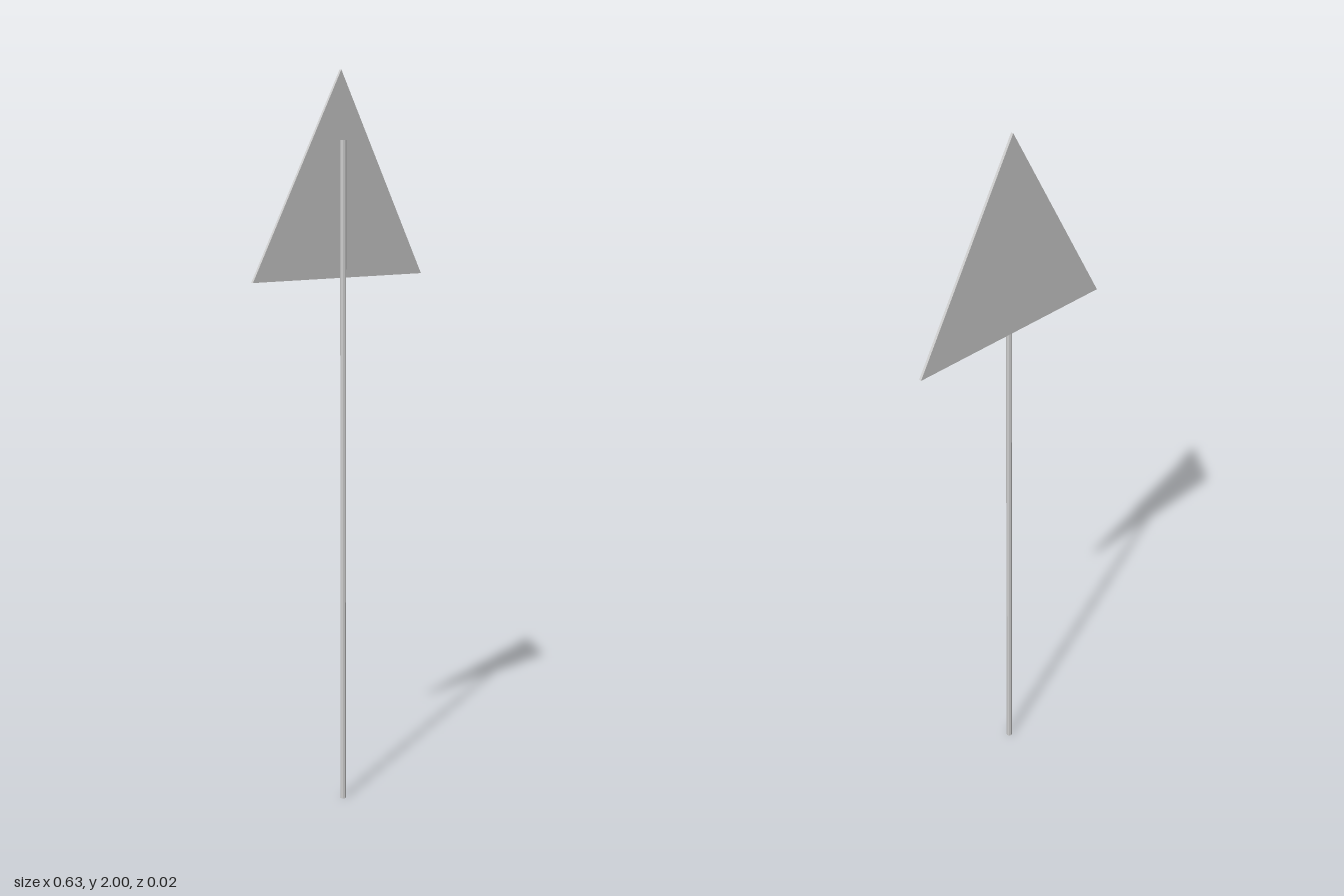
import * as THREE from 'three';

export function createModel() {
  const model = new THREE.Group();
  const material = new THREE.MeshStandardMaterial({ color: 0xcccccc, flatShading: true });

  // Slender faceted post, standing on the ground
  const poleHeight = 1.82;
  const pole = new THREE.Mesh(new THREE.CylinderGeometry(0.008, 0.008, poleHeight, 8), material);
  pole.name = 'pole';
  pole.position.set(0, poleHeight / 2, 0.003);
  model.add(pole);

  // Thin triangular sign plate fixed to the back of the post
  const triangle = new THREE.Shape([
    new THREE.Vector2(-0.313, 1.46),
    new THREE.Vector2(0.313, 1.46),
    new THREE.Vector2(0, 2),
  ]);
  const plate = new THREE.Mesh(
    new THREE.ExtrudeGeometry(triangle, { depth: 0.007, bevelEnabled: false }),
    material
  );
  plate.name = 'signPlate';
  plate.position.z = -0.011;
  model.add(plate);

  return model;
}
